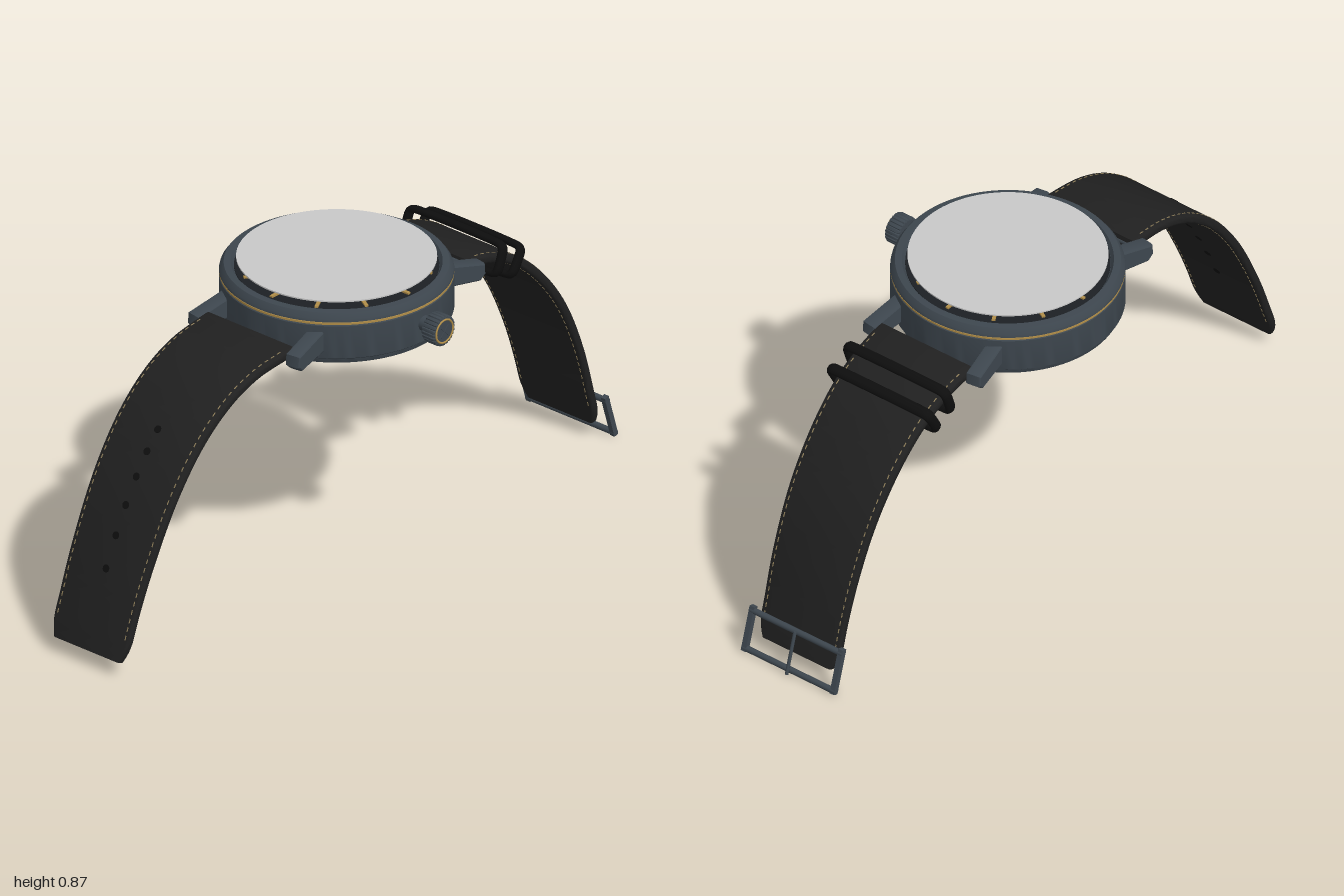
import * as THREE from 'three';
import { mergeGeometries, toCreasedNormals } from 'three/addons/utils/BufferGeometryUtils.js';

const CX = -0.04, CZ = -0.03;

const mat = (name, color, side = THREE.FrontSide) => {
  const m = new THREE.MeshStandardMaterial({ color, side });
  m.name = name;
  return m;
};
const steel = mat('dark steel', 0x3d464e);
const gold = mat('gold', 0xb08d48);
const leather = mat('black leather', 0x202020);
const black = mat('black', 0x0e0e0e);
const glass = mat('pale glass', 0xc8c8c8, THREE.DoubleSide);
const dialMat = mat('dial', 0x1c2024);
const thread = mat('thread', 0x8c7c58);

function add(parent, name, geo, material, x = 0, y = 0, z = 0) {
  const m = new THREE.Mesh(geo, material);
  m.name = name;
  m.position.set(x, y, z);
  parent.add(m);
  return m;
}
const lathe = (pts, n = 96) =>
  toCreasedNormals(new THREE.LatheGeometry(pts.map(p => new THREE.Vector2(...p)), n), 0.4);
const disc = (r, h, n = 72) => new THREE.CylinderGeometry(r, r, h, n);

// Path of a strap in the z-y plane; frame(u) gives a matrix with y pointing outward
function strapPath(points, s) {
  const curve = new THREE.CatmullRomCurve3(points.map(([z, y]) => new THREE.Vector3(CX, y, z)));
  const frame = u => {
    const p = curve.getPointAt(u), t = curve.getTangentAt(u);
    const n = new THREE.Vector3(0, s * t.z, -s * t.y);
    return new THREE.Matrix4().makeBasis(new THREE.Vector3(s, 0, 0), n, t).setPosition(p);
  };
  const atHeight = y => {
    let a = 0, b = 1;
    for (let i = 0; i < 30; i++) {
      const m = (a + b) / 2;
      if (curve.getPointAt(m).y > y) a = m; else b = m;
    }
    return a;
  };
  return { frame, atHeight, length: curve.getLength() };
}

const baseWidth = u => THREE.MathUtils.lerp(0.163, 0.138, Math.min(1, u * 1.15));
const halfThick = u => THREE.MathUtils.lerp(0.0145, 0.012, u);

// Strap body: a rounded flat section swept along the path, with a soft tip
function strapGeometry(path) {
  const N = 64, verts = [], idx = [], M = 16;
  for (let i = 0; i <= N; i++) {
    const u = i / N, f = path.frame(u);
    const tip = Math.max(0, (u - 0.93) / 0.07);
    const w = baseWidth(u) - 0.018 * tip * tip, h = halfThick(u), r = h * 0.7;
    for (let j = 0; j < M; j++) {
      const q = Math.floor(j / 4), a = (q + (j % 4) / 3) * Math.PI / 2;
      const sx = q === 0 || q === 3 ? 1 : -1, sy = q < 2 ? 1 : -1;
      const v = new THREE.Vector3(sx * (w - r) + r * Math.cos(a), sy * (h - r) + r * Math.sin(a), 0);
      verts.push(...v.applyMatrix4(f).toArray());
    }
  }
  for (let i = 0; i < N; i++) for (let j = 0; j < M; j++) {
    const a = i * M + j, b = i * M + (j + 1) % M;
    idx.push(a, b, b + M, a, b + M, a + M);
  }
  for (let j = 1; j < M - 1; j++) {
    idx.push(0, j + 1, j, N * M, N * M + j, N * M + j + 1);
  }
  const g = new THREE.BufferGeometry();
  g.setAttribute('position', new THREE.Float32BufferAttribute(verts, 3));
  g.setIndex(idx);
  return toCreasedNormals(g, 0.7);
}

// Rows of stitches along both edges, outside and inside
function stitches(path) {
  const list = [], count = Math.floor(path.length / 0.024);
  for (let i = 2; i < count - 2; i++) {
    const u = i / count;
    for (const sx of [-1, 1]) for (const sy of [-1, 1]) {
      const g = new THREE.BoxGeometry(0.003, 0.002, 0.013);
      g.translate(sx * (baseWidth(u) - 0.014), sy * halfThick(u), 0);
      list.push(g.applyMatrix4(path.frame(u)));
    }
  }
  return mergeGeometries(list);
}

function buildCase() {
  const g = new THREE.Group();
  g.name = 'watchCase';
  g.position.set(CX, 0, CZ);
  add(g, 'caseBody', lathe([[0, 0.712], [0.235, 0.712], [0.238, 0.706], [0.312, 0.706], [0.317, 0.72],
    [0.322, 0.724], [0.322, 0.822], [0.318, 0.826], [0.318, 0.832], [0.322, 0.834], [0.32, 0.842],
    [0.309, 0.857], [0.29, 0.859], [0.282, 0.845], [0, 0.845]]), steel);
  add(g, 'goldBand', disc(0.3215, 0.006, 96), gold, 0, 0.829);

  // Dial, markers and hands under the crystal
  add(g, 'dial', disc(0.281, 0.003), dialMat, 0, 0.8465);
  for (let i = 0; i < 12; i++) {
    const a = i * Math.PI / 6;
    const m = add(g, 'hourMarker', new THREE.BoxGeometry(0.01, 0.006, 0.045), gold,
      Math.sin(a) * 0.245, 0.85, Math.cos(a) * 0.245);
    m.rotation.y = a;
  }
  for (const [name, len, a, y] of [['hourHand', 0.14, 1, 0.854], ['minuteHand', 0.21, -1, 0.858]]) {
    const hand = new THREE.BoxGeometry(0.012, 0.003, len).translate(0, 0, -len / 2 + 0.02);
    add(g, name, hand, gold, 0, y).rotation.y = a;
  }
  add(g, 'handHub', disc(0.01, 0.022, 20), gold, 0, 0.857);
  add(g, 'crystal', disc(0.275, 0.004, 96), glass, 0, 0.874);

  // Back: window, gold movement and screws
  add(g, 'movement', disc(0.17, 0.014), gold, 0, 0.698);
  add(g, 'movementPlate', disc(0.235, 0.004), steel, 0, 0.703);
  add(g, 'backWindow', disc(0.225, 0.003, 96), glass, 0, 0.685);
  for (let i = 0; i < 6; i++) {
    const a = (i + 0.5) * Math.PI / 3;
    add(g, 'backScrew', disc(0.012, 0.008, 16), steel, Math.cos(a) * 0.275, 0.704, Math.sin(a) * 0.275);
  }

  // Lugs, slightly splayed, with a bar between each pair
  const profile = new THREE.Shape([[0.24, 0.75], [0.37, 0.732], [0.385, 0.745], [0.383, 0.772],
    [0.26, 0.802], [0.24, 0.802]].map(p => new THREE.Vector2(...p)));
  const lugGeo = toCreasedNormals(new THREE.ExtrudeGeometry(profile, {
    depth: 0.03, bevelThickness: 0.008, bevelSize: 0.005, bevelSegments: 2,
  }).translate(0, 0, -0.015).rotateY(-Math.PI / 2), 0.4);
  for (const turn of [0, Math.PI]) {
    const pair = new THREE.Group();
    pair.name = 'lugPair';
    pair.rotation.y = turn;
    for (const s of [-1, 1]) add(pair, 'lug', lugGeo, steel, s * 0.125, 0, 0).rotation.y = s * 0.15;
    add(pair, 'springBar', new THREE.CylinderGeometry(0.008, 0.008, 0.34, 16).rotateZ(Math.PI / 2), steel, 0, 0.762, 0.355);
    g.add(pair);
  }

  // Crown with a ribbed edge, gold ring and cross
  const crown = new THREE.Group();
  crown.name = 'crown';
  crown.position.set(0.31, 0.779, 0);
  crown.rotation.y = Math.PI / 2;
  const gear = new THREE.Shape();
  for (let i = 0; i < 96; i++) {
    const a = i / 96 * Math.PI * 2, r = i % 4 < 2 ? 0.041 : 0.037;
    gear[i ? 'lineTo' : 'moveTo'](r * Math.cos(a), r * Math.sin(a));
  }
  add(crown, 'crownStem', disc(0.022, 0.06, 32).rotateX(Math.PI / 2), steel, 0, 0, 0.025);
  add(crown, 'crownWheel', toCreasedNormals(new THREE.ExtrudeGeometry(gear, {
    depth: 0.034, bevelThickness: 0.006, bevelSize: 0.004, bevelSegments: 2,
  }), 0.4), steel, 0, 0, 0.047);
  add(crown, 'crownRing', new THREE.TorusGeometry(0.034, 0.003, 8, 40), gold, 0, 0, 0.087);
  for (const s of [-1, 1]) {
    add(crown, 'crownCross', new THREE.BoxGeometry(0.004, 0.045, 0.003), steel, 0, 0, 0.088).rotation.z = s * Math.PI / 4;
  }
  g.add(crown);
  return g;
}

function buildStrap(name, path) {
  const g = new THREE.Group();
  g.name = name;
  add(g, 'strapBody', strapGeometry(path), leather);
  add(g, 'stitching', stitches(path), thread);
  return g;
}

// Rounded loop around the strap
function keeperGeometry() {
  const w = 0.172, h = 0.042, r = 0.016, pts = [];
  for (let q = 0; q < 4; q++) for (let k = 0; k <= 3; k++) {
    const a = (q + k / 3) * Math.PI / 2;
    pts.push(new THREE.Vector3((q === 0 || q === 3 ? 1 : -1) * (w - r) + r * Math.cos(a),
      (q < 2 ? 1 : -1) * (h - r) + r * Math.sin(a), 0));
  }
  const loop = new THREE.CatmullRomCurve3(pts, true, 'centripetal');
  return new THREE.TubeGeometry(loop, 96, 0.011, 10, true).scale(1, 1, 1.5);
}

function buildBuckle() {
  const g = new THREE.Group();
  g.name = 'buckle';
  g.position.set(CX, 0.077, -0.971);
  g.rotation.x = 0.29;
  for (const s of [-1, 1]) add(g, 'buckleSide', new THREE.BoxGeometry(0.016, 0.136, 0.016), steel, s * 0.155, 0, 0);
  const bar = new THREE.CylinderGeometry(0.009, 0.009, 0.326, 16).rotateZ(Math.PI / 2);
  add(g, 'buckleEnd', bar, steel, 0, -0.06, 0);
  add(g, 'buckleBar', bar, steel, 0, 0.055, 0);
  add(g, 'buckleProng', new THREE.CylinderGeometry(0.005, 0.005, 0.13, 12), steel, 0, -0.008, -0.01);
  return g;
}

export function createModel() {
  const model = new THREE.Group();
  model.name = 'wristwatch';
  model.add(buildCase());

  // Front strap with adjustment holes
  const front = strapPath([[0.32, 0.768], [0.36, 0.764], [0.465, 0.748], [0.57, 0.705], [0.68, 0.62],
    [0.786, 0.485], [0.893, 0.28], [0.983, 0.05]], 1);
  const frontStrap = buildStrap('frontStrap', front);
  for (const y of [0.61, 0.56, 0.5, 0.43, 0.353, 0.267]) {
    const u = front.atHeight(y);
    const hole = disc(0.011, 2 * halfThick(u) + 0.003, 20).applyMatrix4(front.frame(u));
    add(frontStrap, 'strapHole', hole, black);
  }
  model.add(frontStrap);

  // Rear strap with keepers and buckle
  const rear = strapPath([[-0.385, 0.764], [-0.47, 0.749], [-0.578, 0.705], [-0.684, 0.62],
    [-0.79, 0.485], [-0.873, 0.31], [-0.95, 0.055]], -1);
  const rearStrap = buildStrap('rearStrap', rear);
  for (const y of [0.737, 0.707]) {
    add(rearStrap, 'keeper', keeperGeometry().applyMatrix4(rear.frame(rear.atHeight(y))), black);
  }
  rearStrap.add(buildBuckle());
  model.add(rearStrap);
  return model;
}
